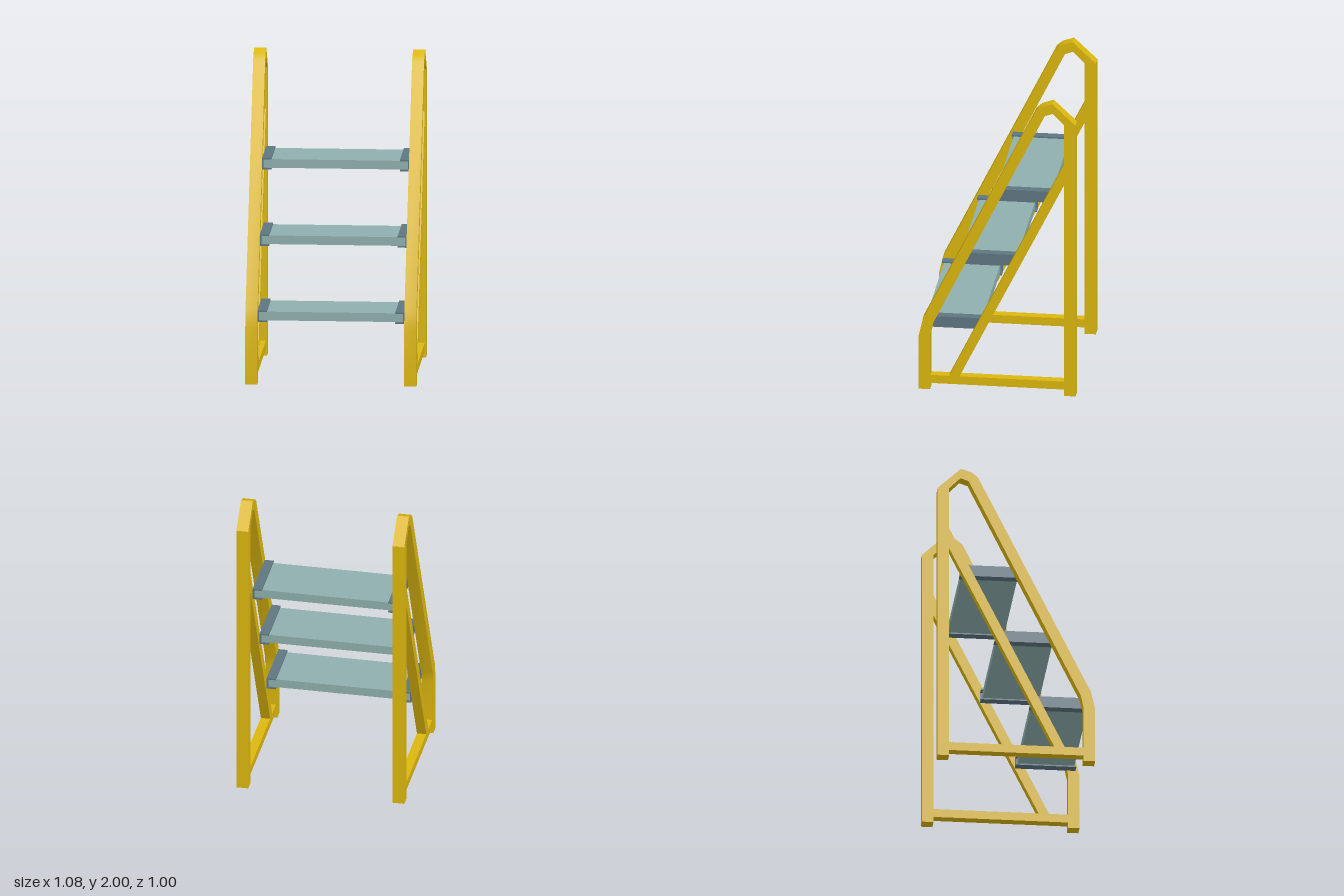
import * as THREE from 'three';
import { toCreasedNormals } from 'three/addons/utils/BufferGeometryUtils.js';

const material = (name, color) => {
  const m = new THREE.MeshStandardMaterial({ color });
  m.name = name;
  return m;
};

// Extrudes a [z, y] outline along x, centred on x = 0.
function sideProfile(points, width) {
  const shape = new THREE.Shape(points.map(([z, y]) => new THREE.Vector2(z, y)));
  const geometry = new THREE.ExtrudeGeometry(shape, { depth: width, bevelEnabled: false });
  geometry.translate(0, 0, -width / 2).rotateY(-Math.PI / 2);
  return toCreasedNormals(geometry, 0.45);
}

export function createModel() {
  const model = new THREE.Group();
  model.name = 'stepLadder';
  const yellow = material('yellow paint', 0xdcb70f);
  const teal = material('pale teal tread', 0x8fafad);
  const slate = material('slate bracket', 0x5e7682);

  const add = (parent, name, geometry, mat, x = 0, y = 0, z = 0) => {
    const mesh = new THREE.Mesh(geometry, mat);
    mesh.name = name;
    mesh.position.set(x, y, z);
    parent.add(mesh);
  };
  const box = (w, h, d) => new THREE.BoxGeometry(w, h, d);

  // Bent tube: front leg, sloping rail, peak and rear post
  const railGeometry = sideProfile([
    [0.5, 0], [0.5, 0.365], [0.474, 0.48], [-0.243, 1.942], [-0.28, 1.975], [-0.352, 2],
    [-0.5, 1.86], [-0.5, 0], [-0.427, 0], [-0.427, 1.86], [-0.355, 1.934], [-0.303, 1.915],
    [0.408, 0.455], [0.427, 0.37], [0.427, 0],
  ], 0.076);
  // Inner diagonal, cut flush to the base bar and rear post
  const braceGeometry = sideProfile([
    [0.307, 0.095], [-0.427, 1.587], [-0.427, 1.447], [0.241, 0.095],
  ], 0.06);

  for (const side of [-1, 1]) {
    const frame = new THREE.Group();
    frame.name = side > 0 ? 'leftFrame' : 'rightFrame';
    frame.position.x = side * 0.503;
    add(frame, 'bentRail', railGeometry, yellow);
    add(frame, 'diagonalBrace', braceGeometry, yellow);
    add(frame, 'baseBar', box(0.06, 0.055, 0.854), yellow, 0, 0.0675, 0);
    model.add(frame);
  }

  // Treads held at both ends in C-shaped brackets
  const t = 0.009;
  const height = 0.074;
  const depth = 0.382;
  [[0.435, 0.283], [0.881, 0.06], [1.328, -0.161]].forEach(([y, z], i) => {
    const step = new THREE.Group();
    step.name = 'step' + (i + 1);
    step.position.set(0, y, z);
    add(step, 'tread', box(0.914, height - 2 * t, 0.356), teal);
    for (const side of [-1, 1]) {
      add(step, 'bracketWeb', box(t, height, depth), slate, side * 0.4615);
      for (const v of [-1, 1]) {
        add(step, 'bracketFlange', box(0.05, t, depth), slate, side * 0.432, v * (height - t) / 2);
      }
    }
    model.add(step);
  });

  return model;
}
